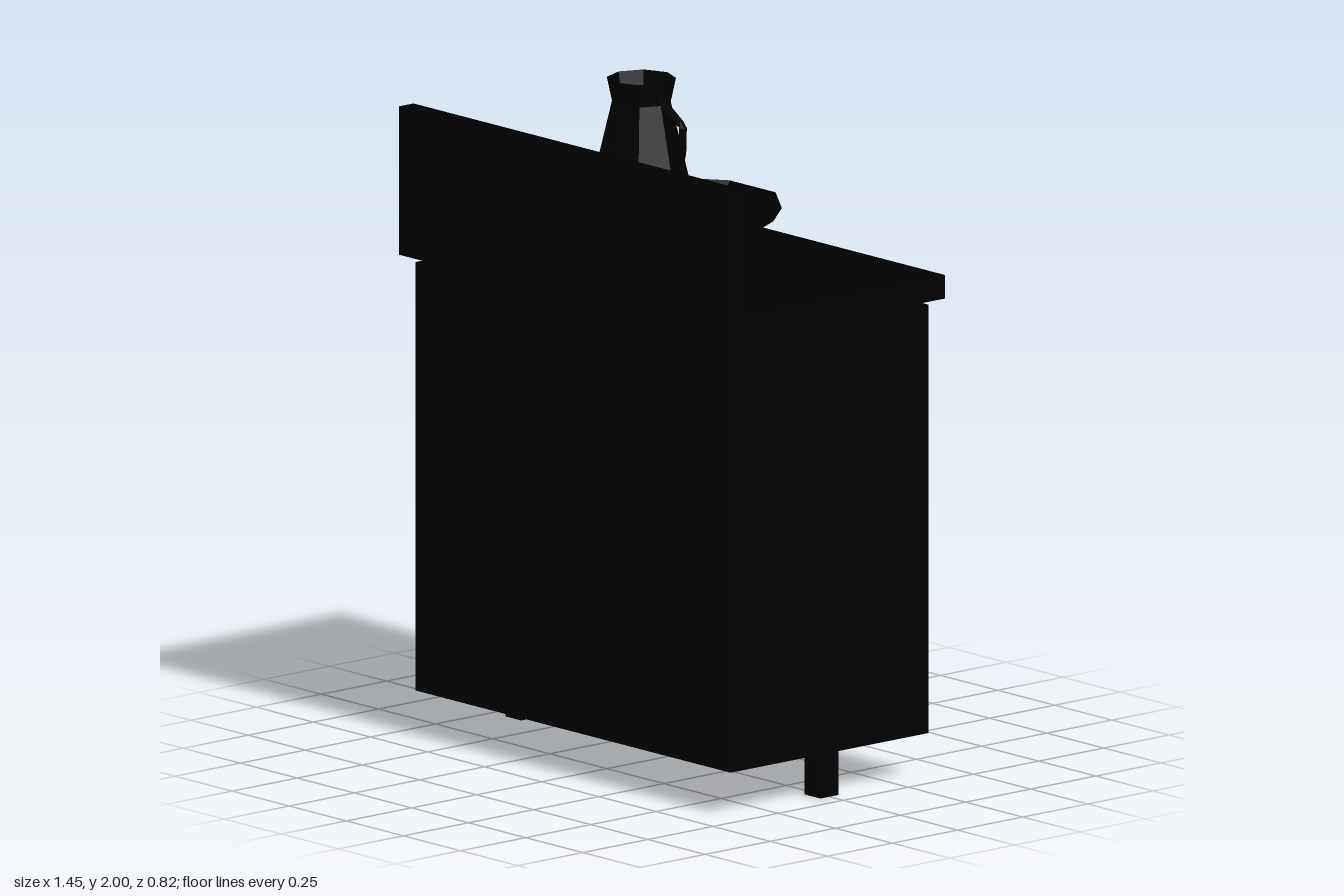
import * as THREE from 'three';

export function createModel() {
  const group = new THREE.Group();
  const black = new THREE.MeshStandardMaterial({ color: 0x000000, flatShading: true, side: THREE.DoubleSide });
  black.name = 'black';

  const add = (name, geometry, x, y, z) => {
    const mesh = new THREE.Mesh(geometry, black);
    mesh.name = name;
    mesh.position.set(x, y, z);
    group.add(mesh);
    return mesh;
  };
  // Box given by its size, centre x and z, and bottom height
  const box = (name, w, h, d, x, bottom, z) =>
    add(name, new THREE.BoxGeometry(w, h, d), x, bottom + h / 2, z);
  // Faceted vessel turned from [radius, height] pairs
  const turned = (name, profile, sides, start, x, z) =>
    add(name, new THREE.LatheGeometry(profile.map(([r, y]) => new THREE.Vector2(r, y)), sides, start), x, 0, z);

  // Cabinet, with the top floating slightly above it
  box('cabinet', 1.38, 1.27, 0.76, 0, 0.13, 0);
  box('worktop', 1.454, 0.07, 0.82, 0, 1.42, 0);
  box('splashback', 1.454, 0.44, 0.055, 0, 1.42, 0.3825);
  for (const side of [-1, 1]) {
    box(side > 0 ? 'leftLeg' : 'rightLeg', 0.07, 0.13, 0.07, side * 0.655, 0, 0);
  }

  // Wash basin
  turned('basin', [[0, 1.492], [0.14, 1.492], [0.3, 1.6], [0.325, 1.64]], 10, Math.PI / 2, 0, 0);

  // Jug standing in the basin
  const jugX = -0.093, jugZ = 0.036;
  turned('jug', [[0, 1.5], [0.1, 1.5], [0.145, 1.675], [0.085, 1.93], [0.1, 2]], 8, 0, jugX, jugZ);

  // Angular jug handle made of straight bars
  const path = [[-0.012, 1.95], [0.088, 1.885], [0.085, 1.8], [0.04, 1.7]]
    .map(([x, y]) => new THREE.Vector3(x, y, jugZ));
  const curve = new THREE.CurvePath();
  for (let i = 0; i < path.length - 1; i++) curve.add(new THREE.LineCurve3(path[i], path[i + 1]));
  add('jugHandle', new THREE.TubeGeometry(curve, 18, 0.012, 5, false), 0, 0, 0);

  return group;
}
